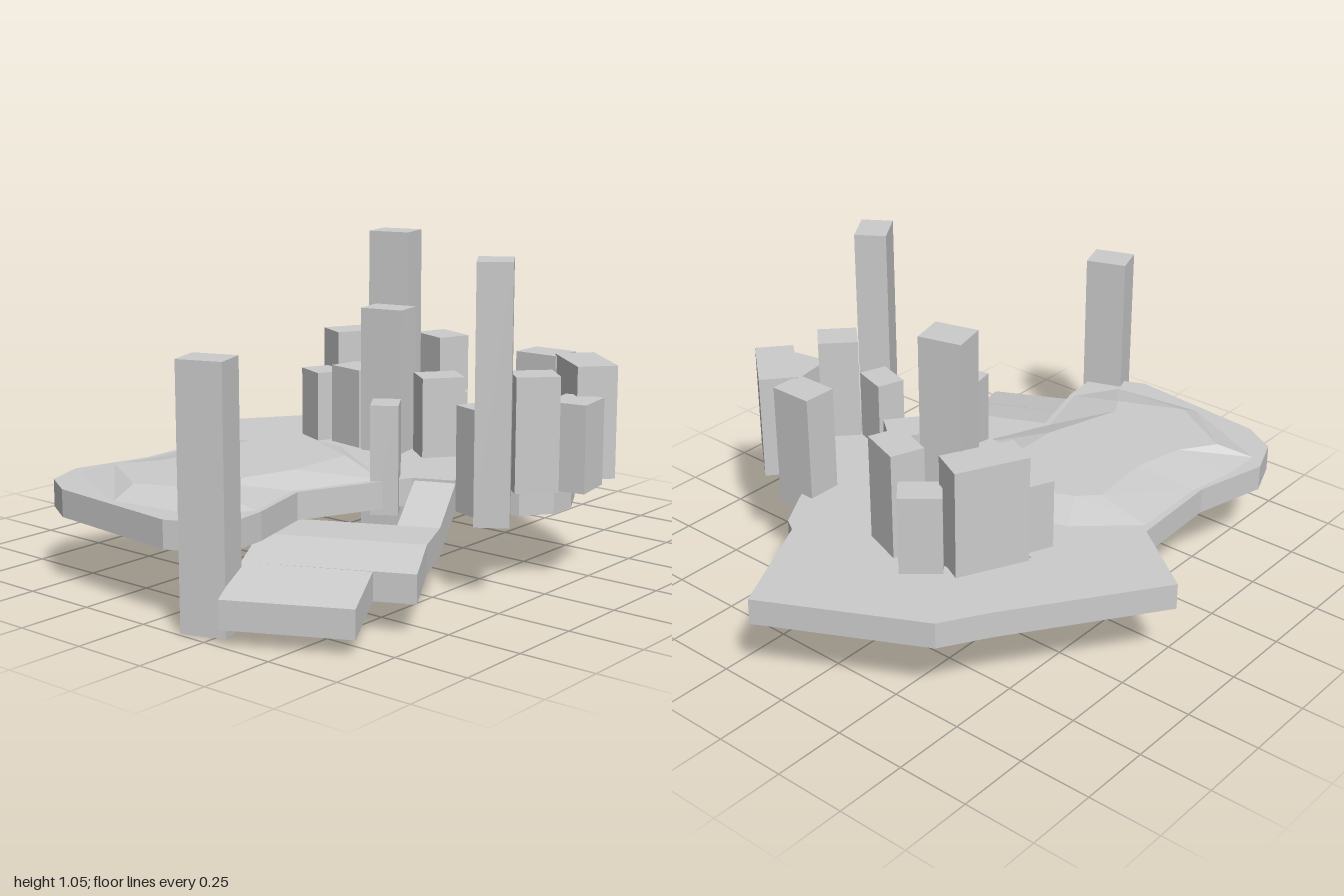
import * as THREE from 'three';

const material = new THREE.MeshStandardMaterial({ color: 0xcccccc, flatShading: true });
const THICK = 0.09;

function meshFrom(points, name) {
  const geometry = new THREE.BufferGeometry();
  geometry.setAttribute('position', new THREE.Float32BufferAttribute(points, 3));
  geometry.computeVertexNormals();
  const mesh = new THREE.Mesh(geometry, material);
  mesh.name = name;
  return mesh;
}

// Slab of constant thickness: upper and lower skins over [x, y, z] corners
function skin(out, a, b, c) {
  const up = (b[2] - a[2]) * (c[0] - a[0]) - (b[0] - a[0]) * (c[2] - a[2]) > 0;
  const [p, q, r] = up ? [a, b, c] : [a, c, b];
  out.push(...p, ...q, ...r);
  for (const v of [p, r, q]) out.push(v[0], v[1] - THICK, v[2]);
}

// Vertical edge wall; the solid lies on the right of a -> b as seen from above
function wall(out, a, b) {
  const a2 = [a[0], a[1] - THICK, a[2]], b2 = [b[0], b[1] - THICK, b[2]];
  out.push(...a, ...b, ...b2, ...a, ...b2, ...a2);
}

// Closed loop of walls, outward for an outline or inward for a hole
function walls(out, loop, hole = false) {
  let area = 0;
  loop.forEach((p, i) => {
    const q = loop[(i + 1) % loop.length];
    area += p[0] * q[2] - q[0] * p[2];
  });
  const forward = (area > 0) !== hole;
  loop.forEach((p, i) => {
    const q = loop[(i + 1) % loop.length];
    if (forward) wall(out, p, q);
    else wall(out, q, p);
  });
}

const raise = (loop, y) => loop.map(([x, z]) => [x, y, z]);

function fill(out, outline, holes) {
  const to2 = (l) => l.map((p) => new THREE.Vector2(p[0], p[2]));
  const o2 = to2(outline), h2 = holes.map(to2);
  // Consistent winding for the triangulator
  const o = THREE.ShapeUtils.isClockWise(o2) ? [...outline].reverse() : outline;
  const h = holes.map((l, i) => (THREE.ShapeUtils.isClockWise(h2[i]) ? l : [...l].reverse()));
  const all = [...o, ...h.flat()];
  for (const [i, j, k] of THREE.ShapeUtils.triangulateShape(to2(o), h.map(to2))) {
    skin(out, all[i], all[j], all[k]);
  }
}

function createPlatform() {
  const out = [];
  const outline = raise([
    [0.09, -0.83], [0.58, -0.49], [0.73, -0.4], [1, 0.12], [0.63, 0.31], [0.6, 0.36],
    [0.45, 0.45], [0.41, 0.56], [0.33, 0.64], [0.2, 0.71], [0.1, 0.71], [0.01, 0.64],
    [-0.04, 0.43], [-0.1, 0.3], [-0.47, 0.14], [-0.71, 0.21], [-0.88, 0.23], [-0.96, 0.05],
    [-0.91, -0.45], [-0.84, -0.57], [-0.7, -0.625], [-0.44, -0.56], [-0.1, -0.575],
  ], 0.32);
  const opening = raise([
    [0.26, -0.39], [0.47, -0.24], [0.5, -0.1], [0.43, 0.03], [0.33, 0.1], [0.26, 0.11],
  ], 0.32);
  // Foot and crest of the raised plateau
  const foot = raise([
    [-0.9, -0.22], [-0.74, -0.57], [-0.58, -0.57], [-0.42, -0.54], [-0.13, -0.55], [0.04, -0.36],
    [0.1, -0.17], [-0.18, 0.24], [-0.47, 0.12], [-0.71, 0.19], [-0.86, 0.1],
  ], 0.32);
  const crest = raise([
    [-0.82, -0.22], [-0.68, -0.46], [-0.56, -0.38], [-0.38, -0.34], [-0.14, -0.36], [-0.08, -0.3],
    [-0.02, -0.17], [-0.12, 0.04], [-0.37, 0.04], [-0.65, -0.04], [-0.72, 0.0],
  ], 0.358);
  fill(out, outline, [opening, foot]);
  foot.forEach((f, i) => {
    const j = (i + 1) % foot.length;
    skin(out, f, foot[j], crest[j]);
    skin(out, f, crest[j], crest[i]);
  });
  fill(out, crest, []);
  walls(out, outline);
  walls(out, opening, true);
  return meshFrom(out, 'platform');
}

// Ramp section through stations of [back corner, front corner, underside height]
function createRampSection(stations) {
  const out = [];
  const rows = stations.map(([b, f, y]) => raise([b, f], y + THICK));
  for (let i = 0; i + 1 < rows.length; i++) {
    const [b0, f0] = rows[i], [b1, f1] = rows[i + 1];
    skin(out, b0, b1, f1);
    skin(out, b0, f1, f0);
    wall(out, b0, b1);
    wall(out, f1, f0);
  }
  wall(out, rows[0][1], rows[0][0]);
  wall(out, ...rows[rows.length - 1]);
  return meshFrom(out, 'rampSection');
}

// Upright block from its back edge (x0, z0)-(x1, z1), depth, bottom and top
function createBlock(name, x0, z0, x1, z1, depth, bottom, top) {
  const dx = x1 - x0, dz = z1 - z0, width = Math.hypot(dx, dz);
  const mesh = new THREE.Mesh(new THREE.BoxGeometry(width, top - bottom, depth), material);
  mesh.position.set(
    (x0 + x1) / 2 - (dz / width) * depth / 2,
    (bottom + top) / 2,
    (z0 + z1) / 2 + (dx / width) * depth / 2,
  );
  mesh.rotation.y = -Math.atan2(dz, dx);
  mesh.name = name;
  return mesh;
}

export function createModel() {
  const model = new THREE.Group();
  model.name = 'blockRuin';
  model.add(createPlatform());

  // Stepped ramp
  const ramp = new THREE.Group();
  ramp.name = 'ramp';
  ramp.add(
    createRampSection([
      [[-1, 0.31], [-0.82, 0.665], 0.05],
      [[-0.81, 0.22], [-0.64, 0.58], 0.1],
    ]),
    createRampSection([
      [[-0.81, 0.22], [-0.58, 0.695], 0.1],
      [[-0.65, 0.145], [-0.43, 0.615], 0.14],
      [[-0.48, 0.08], [-0.26, 0.535], 0.14],
    ]),
    createRampSection([
      [[-0.32, 0.415], [-0.26, 0.535], 0.14],
      [[-0.08, 0.3], [-0.02, 0.42], 0.228],
    ]),
  );
  model.add(ramp);

  // Tall pillars
  for (const p of [
    [-0.99, 0.145, -0.88, 0.105, 0.145, 0, 0.81],
    [0.105, -0.08, 0.215, -0.105, 0.15, 0, 0.81],
    [-0.22, 0.63, -0.1, 0.55, 0.11, 0.24, 1.05],
    [0.27, -0.18, 0.385, -0.21, 0.145, 0.24, 1.05],
  ]) model.add(createBlock('pillar', ...p));

  // Ring of stones around the opening
  for (const s of [
    [0.165, -0.4, 0.26, -0.36, 0.125, 0.22, 0.56],
    [0.28, -0.395, 0.505, -0.285, 0.125, 0.22, 0.69],
    [0.145, -0.245, 0.26, -0.225, 0.145, 0.24, 0.59],
    [0.43, -0.17, 0.51, -0.24, 0.14, 0.24, 0.59],
    [0.435, -0.1, 0.545, -0.06, 0.155, 0.24, 0.685],
    [0.29, 0.11, 0.37, 0.03, 0.1, 0.2, 0.515],
    [0.215, 0.06, 0.33, 0.15, 0.125, 0.24, 0.59],
  ]) model.add(createBlock('innerStone', ...s));

  // Row of stones along the front edge
  for (const s of [
    [-0.22, 0.225, -0.125, 0.16, 0.09, 0.21, 0.565],
    [-0.04, 0.43, 0.055, 0.46, 0.13, 0.22, 0.565],
    [0.02, 0.585, 0.12, 0.68, 0.12, 0.32, 0.685],
    [0.065, 0.7, 0.21, 0.675, 0.13, 0.315, 0.595],
    [0.35, 0.54, 0.45, 0.625, 0.25, 0.325, 0.69],
    [0.33, 0.4, 0.45, 0.4, 0.155, 0.25, 0.685],
  ]) model.add(createBlock('frontStone', ...s));

  return model;
}
